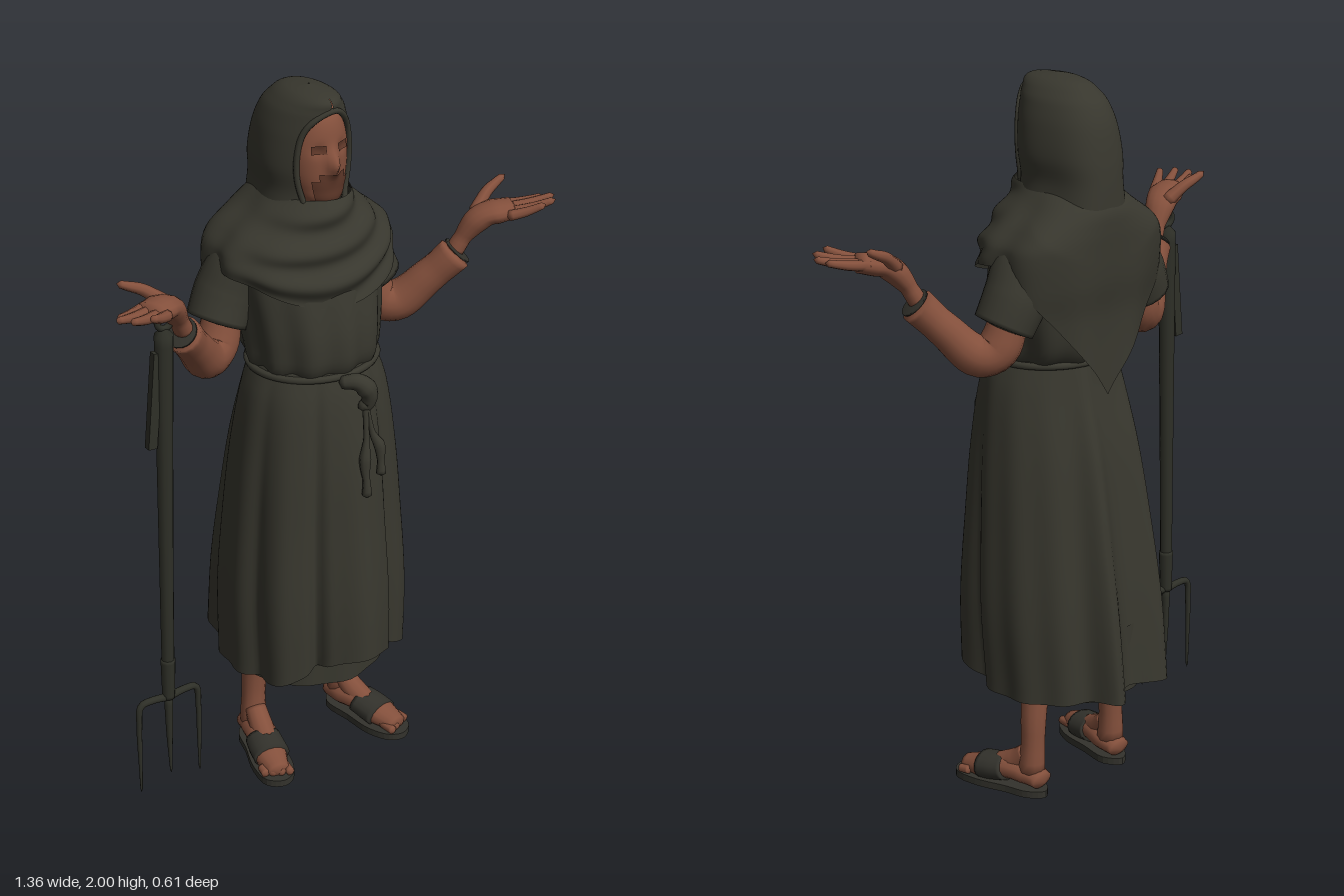
import * as THREE from 'three';
import { mergeVertices } from 'three/addons/utils/BufferGeometryUtils.js';

const mat = (name, color, side = THREE.FrontSide) => {
  const m = new THREE.MeshStandardMaterial({ color, side });
  m.name = name;
  return m;
};

// Weld seams and smooth the normals
function smooth(g) {
  g.deleteAttribute('uv');
  if (g.attributes.normal) g.deleteAttribute('normal');
  const out = mergeVertices(g, 1e-5);
  out.computeVertexNormals();
  return out;
}

// Grid surface: u runs counter-clockwise seen from above, v runs downward
function surface(nu, nv, fn) {
  const pos = [], idx = [];
  for (let j = 0; j <= nv; j++) for (let i = 0; i <= nu; i++) pos.push(...fn(i / nu, j / nv));
  for (let j = 0; j < nv; j++) for (let i = 0; i < nu; i++) {
    const a = j * (nu + 1) + i, c = a + nu + 1;
    idx.push(a, c, a + 1, a + 1, c, c + 1);
  }
  const g = new THREE.BufferGeometry();
  g.setAttribute('position', new THREE.Float32BufferAttribute(pos, 3));
  g.setIndex(idx);
  return smooth(g);
}

// Smooth lookup in rows [y, ...values] sorted from top to bottom
function at(rows, y) {
  let k = 0;
  while (k < rows.length - 2 && y < rows[k + 1][0]) k++;
  const p = rows[k], q = rows[k + 1], h = q[0] - p[0];
  const f = THREE.MathUtils.clamp((y - p[0]) / h, 0, 1);
  const o = rows[Math.max(k - 1, 0)], r = rows[Math.min(k + 2, rows.length - 1)];
  return p.map((a, c) => {
    const m0 = (q[c] - o[c]) / (q[0] - o[0]) * h, m1 = (r[c] - p[c]) / (r[0] - p[0]) * h;
    const f2 = f * f, f3 = f2 * f;
    return (2 * f3 - 3 * f2 + 1) * a + (f3 - 2 * f2 + f) * m0 + (3 * f2 - 2 * f3) * q[c] + (f3 - f2) * m1;
  });
}

// Point on an elliptical section; angle 0 faces the front
const onRow = (rows, y, ang, extra = 0) => {
  const [, cz, rx, rz] = at(rows, y);
  return [Math.sin(ang) * (rx + extra), y, cz + Math.cos(ang) * (rz + extra)];
};

// Round limb along [x, y, z, radius] points, optionally flattened in y
function limb(pts, flat = 1, n = 16, sides = 12) {
  const curve = new THREE.CatmullRomCurve3(pts.map(p => new THREE.Vector3(p[0], p[1], p[2])));
  const g = new THREE.TubeGeometry(curve, n, 1, sides);
  const pos = g.attributes.position, nor = g.attributes.normal;
  for (let i = 0; i <= n; i++) {
    const c = curve.getPointAt(i / n), f = (i / n) * (pts.length - 1), k = Math.min(Math.floor(f), pts.length - 2);
    const r = i === 0 || i === n ? 0 : THREE.MathUtils.lerp(pts[k][3], pts[k + 1][3], f - k);
    for (let j = 0; j <= sides; j++) {
      const v = i * (sides + 1) + j;
      pos.setXYZ(v, c.x + nor.getX(v) * r, c.y + nor.getY(v) * r * flat, c.z + nor.getZ(v) * r);
    }
  }
  return smooth(g);
}

const bump = (a, c, w) => {
  const d = Math.atan2(Math.sin(a - c), Math.cos(a - c)) / w;
  return Math.exp(-d * d);
};
// Broad shoulder blades, which square off the back
const blades = a => bump(a, 2.3, .4) + bump(a, -2.3, .4);

export function createModel() {
  const model = new THREE.Group();
  const cloth = mat('dark cloth', 0x38372e, THREE.DoubleSide);
  const skin = mat('skin', 0x84503c);
  const shade = mat('dark skin', 0x5f3829, THREE.DoubleSide);
  const leather = mat('sandal leather', 0x33322c);
  const tool = mat('fork', 0x2e2f27);
  const add = (name, geo, material, parent = model) => {
    const m = new THREE.Mesh(geo, material);
    m.name = name;
    parent.add(m);
    return m;
  };
  const TAU = Math.PI * 2;

  // Robe: pleated skirt with a lifted front hem, underskirt and torso
  const skirt = [[1.27, .035, .165, .152], [1.18, .04, .2, .17], [1.0, .03, .225, .2],
    [.8, .02, .24, .22], [.55, .01, .25, .242], [.32, 0, .24, .25]];
  add('skirt', surface(144, 28, (u, v) => {
    const a = u * TAU, hem = .307 + .1 * bump(a, .05, .8) + .018 * bump(a, Math.PI, .6), y = 1.27 - v * (1.27 - hem);
    const d = Math.pow((1.27 - y) / .94, .8);
    const fold = .055 * bump(a, .12, .4) + .035 * bump(a, .8, .2) + .035 * bump(a, -.8, .2)
      + .06 * bump(a, Math.PI - .2, .14) + .055 * bump(a, Math.PI + .57, .17)
      - .022 * bump(a, Math.PI + .2, .15) - .04 * bump(a, .52, .08) - .04 * bump(a, -.46, .08)
      - .015 * bump(a, 1.2, .1) - .015 * bump(a, -1.2, .1) + .005 * Math.cos(13 * a);
    return onRow(skirt, y, a, fold * d);
  }), cloth);
  add('underskirt', surface(64, 4, (u, v) => {
    const a = u * TAU;
    return [Math.sin(a) * .215, .5 - v * .195, Math.cos(a) * (.225 + .005 * Math.cos(9 * a))];
  }), cloth);
  // The blouse hangs slightly over the belt
  const torso = [[1.67, 0, .1, .09], [1.6, 0, .2, .14], [1.5, .01, .205, .165], [1.38, .025, .192, .178],
    [1.3, .03, .182, .178], [1.265, .033, .178, .168], [1.24, .035, .165, .15]];
  add('torso', surface(80, 24, (u, v) => {
    const a = u * TAU, y = 1.67 - v * .43;
    return onRow(torso, y, a, .007 * Math.cos(11 * a) * v + .03 * blades(a) * Math.sin(v * Math.PI));
  }), cloth);

  // Shawl: draped in front, hanging to a point at the back
  const shawl = [[1.72, -.01, .108, .142], [1.67, -.015, .15, .172], [1.62, -.015, .21, .178],
    [1.575, -.008, .247, .185], [1.48, 0, .25, .19], [1.38, 0, .235, .178], [1.15, 0, .2, .186]];
  add('shawl', surface(96, 36, (u, v) => {
    const a = u * TAU, back = Math.abs(Math.PI - a), front = Math.max(0, Math.cos(a));
    const bottom = Math.min(1.165 + .3 * back, 1.53 - .09 * front * front);
    const y = 1.72 - v * (1.72 - bottom);
    const side = a > Math.PI ? a - TAU : a;
    const ripple = front * .01 * Math.sin(v * 19 + side * 1.8) + .008 * (1 - front) * v * Math.cos(9 * a);
    return onRow(shawl, y, a, ripple + .035 * blades(a) * Math.min(1, v * 2.5));
  }), cloth);

  // Hood with an open front and rolled rim; last column is half the opening angle
  const hood = [[2.0, .02, .002, .002, 0], [1.988, .02, .05, .09, 0], [1.955, .002, .085, .122, .1],
    [1.93, -.008, .098, .133, .55], [1.88, -.018, .113, .145, .72], [1.8, -.027, .122, .152, .74],
    [1.73, -.032, .114, .154, .66], [1.64, -.03, .13, .16, .3]];
  const hoodPoint = (u, y) => {
    const open = Math.max(0, at(hood, y)[4]);
    const a = open + u * (TAU - 2 * open);
    return onRow(hood, y, a, .004 * Math.cos(5 * a) * (2 - y) / .3);
  };
  add('hood', surface(64, 36, (u, v) => hoodPoint(u, 2 - .36 * v * v * (1.6 - .6 * v))), cloth);
  const rimYs = [1.66, 1.72, 1.78, 1.84, 1.9, 1.935];
  const rim = [...rimYs.map(y => hoodPoint(1, y)), hoodPoint(0.5 / 64, 1.958), ...rimYs.slice().reverse().map(y => hoodPoint(0, y))];
  add('hoodRim', limb(rim.map(p => [...p, .008]), 1, 48, 8), cloth);

  // Head with a modelled nose, plus thin beard and eye patches that follow the face
  const head = [[1.97, .03, .04, .04], [1.93, .032, .072, .078], [1.86, .038, .086, .088], [1.8, .04, .084, .09],
    [1.75, .045, .072, .083], [1.705, .055, .047, .062], [1.685, .06, .002, .002]];
  const facePoint = (a, y, lift = 0) => {
    const nose = .026 * bump(a, 0, .17) * Math.exp(-(((y - 1.818) / .03) ** 2));
    const socket = .006 * (bump(a, .42, .2) + bump(a, -.42, .2)) * Math.exp(-(((y - 1.857) / .015) ** 2));
    return onRow(head, y, a, nose - socket + lift);
  };
  add('head', surface(64, 36, (u, v) => facePoint(u * TAU, 1.97 - v * .285)), skin);
  add('neck', limb([[0, 1.6, .01, .055], [0, 1.76, .03, .05]]), skin);
  const facePatch = (name, a0, a1, y0, y1) => add(name, surface(20, 8, (u, v) =>
    facePoint(a0 + u * (a1 - a0), y0 - v * (y0 - y1), .004)), shade);
  facePatch('beard', -.7, .7, 1.775, 1.715);
  facePatch('moustache', -.45, .45, 1.795, 1.775);
  facePatch('eye', .2, .65, 1.87, 1.848);
  facePatch('eye', -.65, -.2, 1.87, 1.848);

  // Rope belt with knot and two hanging ends
  const belt = Array.from({ length: 24 }, (_, i) => onRow(skirt, 1.245, i / 24 * TAU, .002))
    .map(p => new THREE.Vector3(...p));
  add('belt', new THREE.TubeGeometry(new THREE.CatmullRomCurve3(belt, true), 64, .01, 8, true), cloth);
  add('beltKnot', limb([[-.03, 1.235, .205, .016], [.015, 1.235, .235, .022], [.04, 1.2, .245, .028], [.035, 1.165, .24, .02],
    [.015, 1.175, .235, .014]], 1, 20), cloth);
  for (const [x, y] of [[.015, .905], [.06, .96]]) {
    add('beltEnd', limb([[.03, 1.18, .24, .009], [(x + .035) / 2, 1.08, .255, .008], [x, y + .09, .265, .008],
      [x, y + .05, .273, .017], [x, y + .025, .275, .01], [x, y, .275, .015]], 1, 24, 8), cloth);
  }

  // Arms, hands, legs and sandals on both sides
  for (const s of [1, -1]) {
    const side = new THREE.Group();
    side.name = s > 0 ? 'leftLimbs' : 'rightLimbs';
    model.add(side);
    const part = (name, pts, m, flat, n, k) => add(name, limb(pts.map(([x, ...r]) => [x * s, ...r]), flat, n, k), m, side);

    part('sleeve', [[.1, 1.57, -.03, .07], [.165, 1.53, -.04, .085], [.21, 1.45, -.05, .086], [.252, 1.365, -.042, .081]], cloth, 1, 24, 20);
    part('forearm', [[.225, 1.4, -.045, .05], [.26, 1.31, -.028, .058], [.305, 1.3, -.003, .057], [.37, 1.37, .045, .05],
      [.422, 1.433, .083, .046], [.437, 1.45, .09, .05]], skin, 1, 28, 16);
    part('cuffLining', [[.431, 1.444, .0875, .043], [.4385, 1.4525, .091, .043]], leather, 1, 4, 16);
    part('palm', [[.42, 1.44, .085, .028], [.452, 1.498, .1, .027], [.495, 1.55, .122, .042], [.54, 1.562, .145, .05],
      [.575, 1.568, .16, .04]], skin, .6, 20, 14);
    const fingers = [[.545, 1.565, .115, .66, 1.582, .168], [.555, 1.563, .142, .678, 1.59, .192],
      [.545, 1.562, .168, .655, 1.594, .226], [.525, 1.56, .182, .608, 1.597, .243]];
    for (const [x, y, z, X, Y, Z] of fingers)
      part('finger', [[x, y, z, .016], [(x + X) / 2, (y + Y) / 2 - .004, (z + Z) / 2, .0135], [X, Y, Z, .009]], skin, 1, 12, 8);
    part('thumb', [[.48, 1.545, .1, .022], [.535, 1.59, .078, .017], [.575, 1.608, .07, .014], [.605, 1.622, .068, .009]], skin, 1, 12, 8);

    const o = .008 * s; // slight stance offset
    const place = pts => pts.map(([x, ...r]) => [x + o, ...r]);
    part('leg', [[.135, .5, -.03, .05], [.138, .34, -.04, .046], [.146 + o, .22, -.05, .038], [.15 + o, .12, -.05, .034],
      [.152 + o, .04, -.045, .04]], skin);
    const foot = [[.148, .045, -.098, .032], [.152, .056, -.04, .045], [.17, .06, .03, .045], [.19, .043, .1, .046], [.205, .032, .175, .028]];
    part('foot', place(foot), skin, .75, 24, 14);
    part('instep', place([[.152, .12, -.04, .03], [.16, .085, 0, .034], [.175, .055, .06, .034]]), skin);
    // Sole outline in x and z, extruded upward
    const outline = [[.148, -.102], [.112, -.06], [.122, .03], [.133, .12], [.165, .18], [.205, .195], [.245, .165], [.242, .09], [.21, 0], [.188, -.07]];
    const sole = new THREE.Shape();
    const loop = new THREE.CatmullRomCurve3(outline.map(([x, z]) => new THREE.Vector3((x + o) * s, z, 0)), true);
    sole.setFromPoints(loop.getPoints(40).slice(0, -1).map(p => new THREE.Vector2(p.x, p.y)));
    const soleGeo = new THREE.ExtrudeGeometry(sole, { depth: .02, bevelEnabled: false });
    add('sandalSole', soleGeo.rotateX(Math.PI / 2).translate(0, .02, 0), leather, side);
    part('sandalStrap', place([[.168, .058, .02, .05], [.18, .05, .065, .053], [.19, .042, .115, .053]]), leather, .74, 10, 16);
    for (let i = 0; i < 4; i++)
      part('toe', place([[.17 + i * .021, .033, .13 - i * .004, .013], [.178 + i * .021, .03, .19 - i * .011, .012]]), skin, 1, 8, 8);
  }

  // Hanging pitchfork with loop, hanging strap and three tines
  const fork = new THREE.Group();
  fork.name = 'pitchfork';
  model.add(fork);
  const forkPart = (name, pts, n = 16) => add(name, limb(pts, 1, n, 10), tool, fork);
  forkPart('handle', [[-.492, 1.49, .1, .026], [-.497, 1.25, .1, .022], [-.505, .75, .1, .019], [-.51, .36, .1, .017]], 40);
  add('handleLoop', new THREE.TorusGeometry(.021, .009, 8, 20), tool, fork).position.set(-.49, 1.5, .1);
  const strap = add('hangingStrap', new THREE.BoxGeometry(.026, .27, .02), tool, fork);
  strap.position.set(-.527, 1.285, .1);
  strap.rotation.z = -.09;
  forkPart('socket', [[-.508, .5, .1, .021], [-.51, .36, .1, .017]]);
  forkPart('middleTine', [[-.51, .38, .1, .013], [-.51, .25, .1, .009], [-.508, .115, .1, .003]]);
  for (const s of [1, -1])
    forkPart('outerTine', [[-.51, .37, .1, .011], [-.51 + s * .05, .377, .1, .01], [-.51 + s * .086, .372, .1, .008],
      [-.51 + s * .094, .3, .1, .007], [-.51 + s * .094, .2, .1, .005], [-.51 + s * .094, .09, .1, .003]], 32);
  return model;
}
